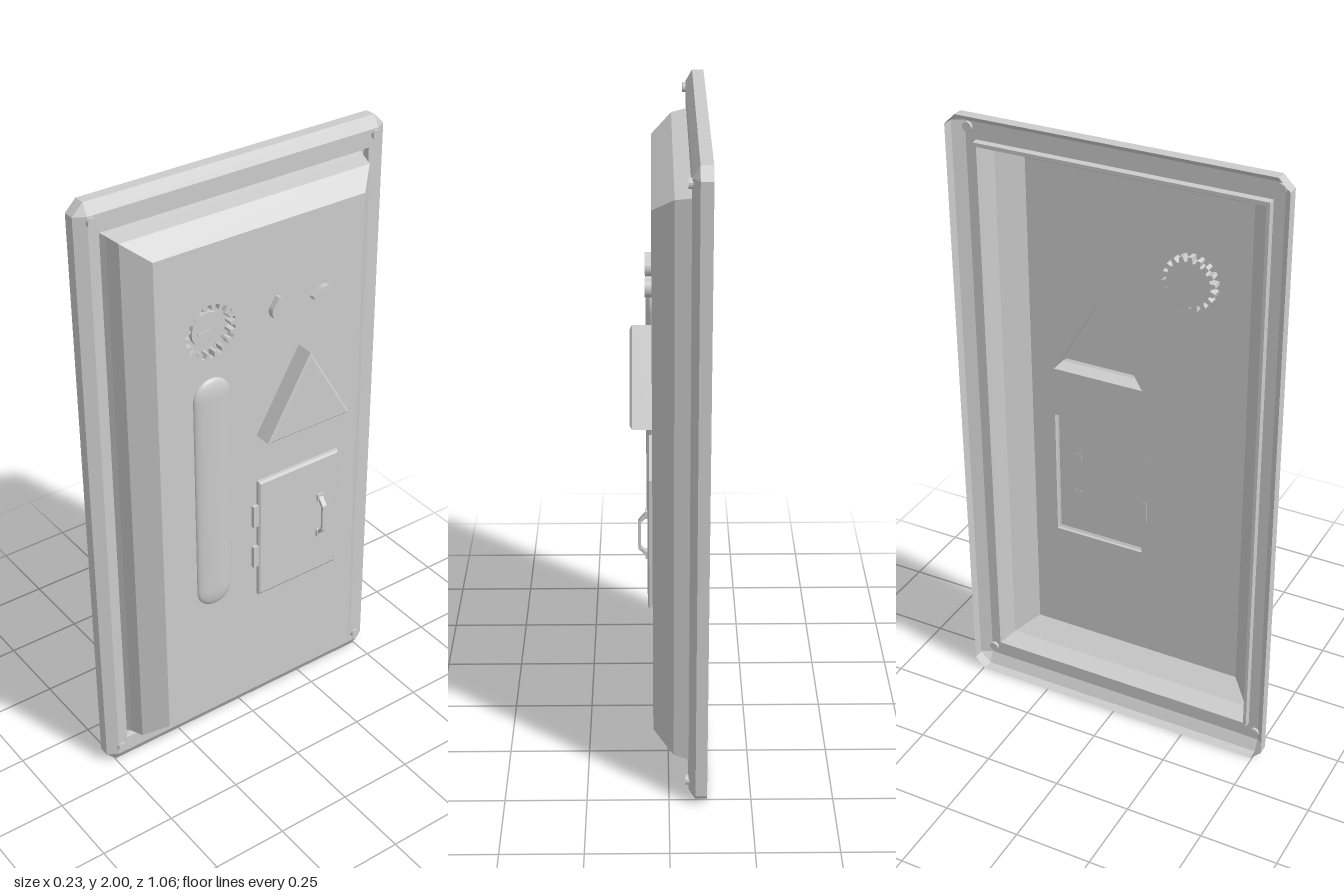
import * as THREE from 'three';

const sheet = new THREE.MeshStandardMaterial({ color: 0xcccccc, flatShading: true, side: THREE.DoubleSide });
const smooth = new THREE.MeshStandardMaterial({ color: 0xcccccc, side: THREE.DoubleSide });
const FACE = 0.047; // depth of the panel's front face

// Rectangle outline with cut corners, counter-clockwise, centred on y = 1
function rectRing(w, h, c) {
  return [[w, 1 - h + c], [w, 1 + h - c], [w - c, 1 + h], [c - w, 1 + h],
    [-w, 1 + h - c], [-w, 1 - h + c], [c - w, 1 - h], [w - c, 1 - h]];
}

// Skin a list of { pts, z } outlines that share the same point count
function loft(rings) {
  const pos = [];
  for (let r = 0; r < rings.length - 1; r++) {
    const a = rings[r], b = rings[r + 1], n = a.pts.length;
    for (let i = 0; i < n; i++) {
      const j = (i + 1) % n;
      const A = [...a.pts[i], a.z], B = [...a.pts[j], a.z], C = [...b.pts[j], b.z], D = [...b.pts[i], b.z];
      pos.push(...A, ...B, ...C, ...A, ...C, ...D);
    }
  }
  const g = new THREE.BufferGeometry();
  g.setAttribute('position', new THREE.Float32BufferAttribute(pos, 3));
  g.computeVertexNormals();
  return g;
}

const toVectors = pts => pts.map(p => new THREE.Vector2(p[0], p[1]));
const flat = (pts, z) => new THREE.ShapeGeometry(new THREE.Shape(toVectors(pts))).translate(0, 0, z);

export function createModel() {
  const model = new THREE.Group();
  const body = new THREE.Group();
  body.name = 'wallPanel';
  body.rotation.y = Math.PI / 2; // built facing +z, turned to face +x
  model.add(body);

  const add = (name, geometry, parent = body, material = sheet) => {
    const m = new THREE.Mesh(geometry, material);
    m.name = name;
    parent.add(m);
    return m;
  };
  const group = name => {
    const g = new THREE.Group();
    g.name = name;
    body.add(g);
    return g;
  };

  // Outer frame and raised pan, one folded sheet open at the back
  const ring = ([w, h, z, c = 0]) => ({ pts: rectRing(w, h, c), z });
  add('frame', loft([[0.53, 1, -0.115, 0.035], [0.53, 1, -0.08, 0.035], [0.495, 0.965, -0.06],
    [0.462, 0.911, -0.06], [0.46, 0.909, -0.08], [0.45, 0.897, -0.08]].map(ring)));
  add('panWalls', loft([[0.45, 0.897, -0.08], [0.442, 0.893, -0.06], [0.43, 0.885, -0.015],
    [0.365, 0.835, FACE]].map(ring)));

  // Outlines of the parts that open through the face
  const triangle = [[-0.02, 1.15], [0.286, 1.15], [0.133, 1.412]];
  const door = [[-0.02, 0.55], [0.286, 0.55], [0.286, 0.985], [-0.02, 0.985]];
  const gear = [], teeth = 18;
  for (let i = 0; i < teeth; i++) {
    [[0, 0.07], [0.3, 0.07], [0.45, 0.086], [0.85, 0.086]].forEach(([t, r]) => {
      const a = (i + t) / teeth * Math.PI * 2;
      gear.push([-0.18 + r * Math.cos(a), 1.56 + r * Math.sin(a)]);
    });
  }

  // Front face
  const face = new THREE.Shape(toVectors([[-0.365, 0.165], [0.365, 0.165], [0.365, 1.835], [-0.365, 1.835]]));
  for (const hole of [triangle, door, gear]) face.holes.push(new THREE.Path(toVectors(hole)));
  add('frontFace', new THREE.ShapeGeometry(face).translate(0, 0, FACE));

  // Raised hollow covers with a bevelled rim
  function cover(name, pts, cx, cy, top, bevel, s) {
    const g = group(name);
    const inner = pts.map(([x, y]) => [cx + (x - cx) * s, cy + (y - cy) * s]);
    add(name + 'Sides', loft([{ pts, z: FACE }, { pts, z: top - bevel }, { pts: inner, z: top }]), g);
    add(name + 'Top', flat(inner, top), g);
    return g;
  }
  cover('triangleCover', triangle, 0.133, 1.237, 0.111, 0.007, 0.92);
  const doorGroup = cover('door', door, 0.133, 0.7675, 0.062, 0.005, 0.965);

  // Door hinges
  for (const y of [0.705, 0.86]) {
    add('hinge', new THREE.BoxGeometry(0.02, 0.078, 0.013).translate(-0.029, y, 0.0525), doorGroup);
  }

  // Door handle: a bent strip on two feet
  const bend = [[0.062, 0.695], [0.066, 0.695], [0.09, 0.722], [0.09, 0.815], [0.066, 0.845], [0.062, 0.845],
    [0.062, 0.832], [0.082, 0.81], [0.082, 0.728], [0.062, 0.708]];
  const grip = new THREE.ExtrudeGeometry(new THREE.Shape(toVectors(bend)), { depth: 0.016, bevelEnabled: false });
  grip.rotateY(-Math.PI / 2).translate(0.223, 0, 0);
  add('handle', grip, doorGroup);
  for (const y of [0.701, 0.838]) {
    add('handleFoot', new THREE.BoxGeometry(0.025, 0.024, 0.008).translate(0.215, y, 0.065), doorGroup);
  }

  // Gear-shaped recess holding a dial
  const dial = group('gearDial');
  add('recessWalls', loft([{ pts: gear, z: 0.018 }, { pts: gear, z: FACE }]), dial);
  add('recessFloor', flat(gear, 0.018), dial);
  add('dialDisc', new THREE.CylinderGeometry(0.055, 0.055, 0.014, 32).rotateX(Math.PI / 2)
    .translate(-0.18, 1.56, 0.025), dial, new THREE.MeshStandardMaterial({ color: 0xcccccc }));
  add('dialNeedle', new THREE.BoxGeometry(0.04, 0.004, 0.004).rotateZ(0.15).translate(-0.195, 1.557, 0.033), dial);

  // Teardrop knobs: round body with a point in the given direction
  function knob(x, y, angle) {
    const s = new THREE.Shape();
    s.absarc(0, 0, 0.028, Math.PI * 0.78, Math.PI * 2.22, false);
    s.lineTo(0.004, 0.044);
    s.lineTo(-0.004, 0.044);
    const g = new THREE.ExtrudeGeometry(s, { depth: 0.019, bevelEnabled: false, curveSegments: 16 });
    add('knob', g.rotateZ(angle).translate(x, y, FACE));
  }
  knob(0.05, 1.56, 0);
  knob(0.217, 1.56, Math.PI / 2);

  // Long domed lamp, flat against the face
  const lamp = new THREE.CapsuleGeometry(0.064, 0.692, 10, 32);
  const p = lamp.attributes.position;
  for (let i = 0; i < p.count; i++) p.setZ(i, Math.max(0, p.getZ(i)));
  add('lamp', lamp.scale(1, 1, 0.29).translate(-0.182, 1, FACE + 0.0005), body, smooth);

  // Corner bolts
  for (const x of [-0.485, 0.485]) {
    for (const y of [0.065, 1.948]) {
      add('bolt', new THREE.CylinderGeometry(0.015, 0.015, 0.02, 16).rotateX(Math.PI / 2).translate(x, y, -0.06));
    }
  }
  return model;
}
